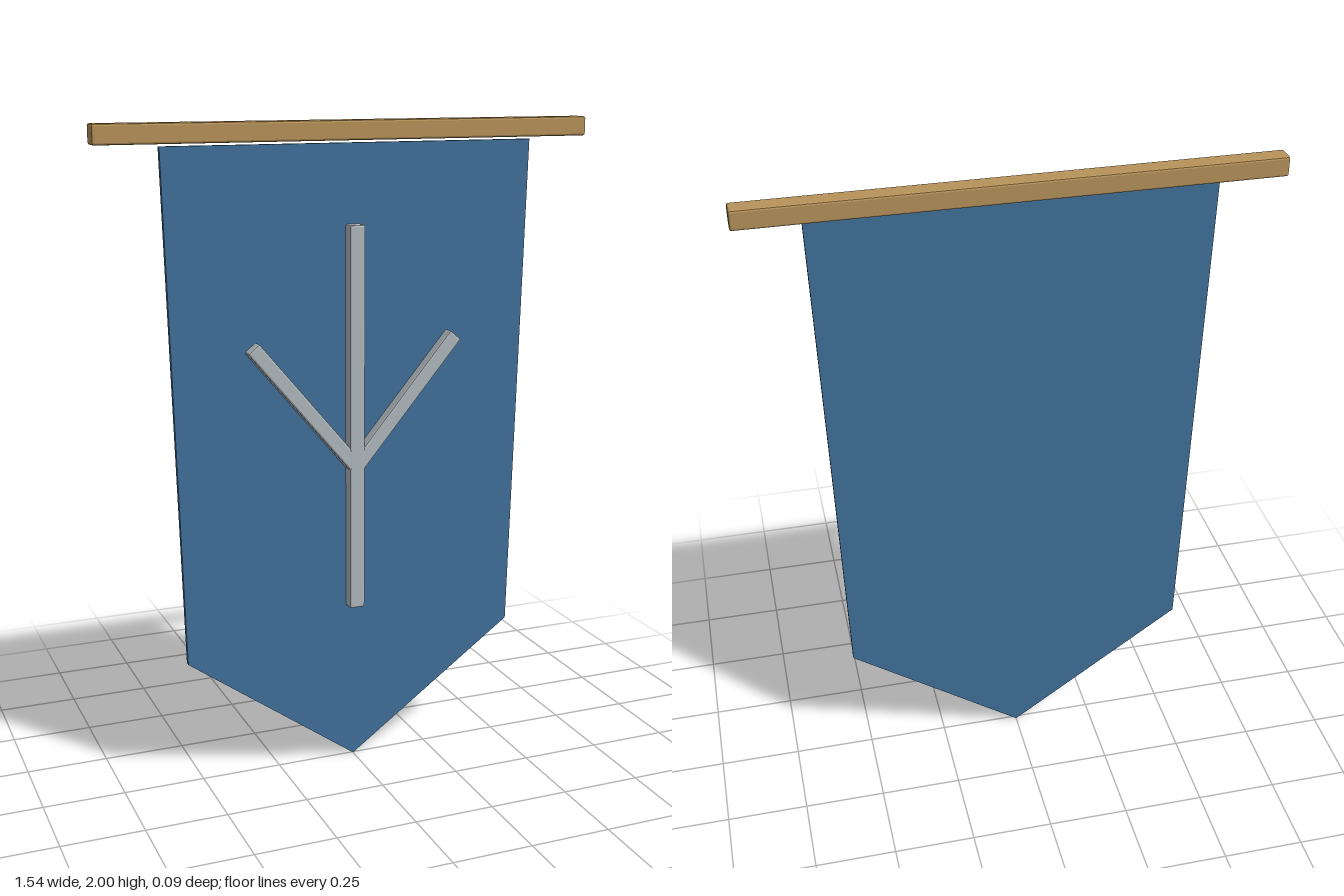
import * as THREE from 'three';
import { RoundedBoxGeometry } from 'three/addons/geometries/RoundedBoxGeometry.js';

const material = (color) => new THREE.MeshStandardMaterial({ color, flatShading: true });

// Bar with small chamfered edges
function bar(name, w, h, d, mat) {
  const mesh = new THREE.Mesh(new RoundedBoxGeometry(w, h, d, 1, 0.006), mat);
  mesh.name = name;
  return mesh;
}

export function createModel() {
  const group = new THREE.Group();
  group.name = 'hangingBanner';
  const wood = material(0xb8935a);
  const blue = material(0x41719c);
  const silver = material(0xb2babf);

  // Crossbar
  const rod = bar('crossbar', 1.54, 0.058, 0.058, wood);
  rod.position.set(0, 1.971, -0.014);
  group.add(rod);

  // Tapered cloth with a pointed lower end
  const outline = new THREE.Shape([
    [-0.58, 1.935], [-0.54, 0.388], [0, 0], [0.54, 0.388], [0.58, 1.935],
  ].map(([x, y]) => new THREE.Vector2(x, y)));
  const cloth = new THREE.Mesh(
    new THREE.ExtrudeGeometry(outline, { depth: 0.016, bevelEnabled: false }), blue);
  cloth.name = 'cloth';
  cloth.position.z = -0.011;
  group.add(cloth);

  // Raised emblem: upright stem with two mirrored branches
  const emblem = new THREE.Group();
  emblem.name = 'emblem';
  emblem.position.z = 0.022;
  const stem = bar('emblemStem', 0.05, 1.19, 0.042, silver);
  stem.position.y = 1.105;
  emblem.add(stem);
  for (const side of [-1, 1]) {
    const branch = bar(side > 0 ? 'leftBranch' : 'rightBranch', 0.046, 0.5, 0.041, silver);
    branch.position.set(side * 0.165, 1.161, 0);
    branch.rotation.z = -side * THREE.MathUtils.degToRad(40);
    emblem.add(branch);
  }
  group.add(emblem);

  return group;
}
